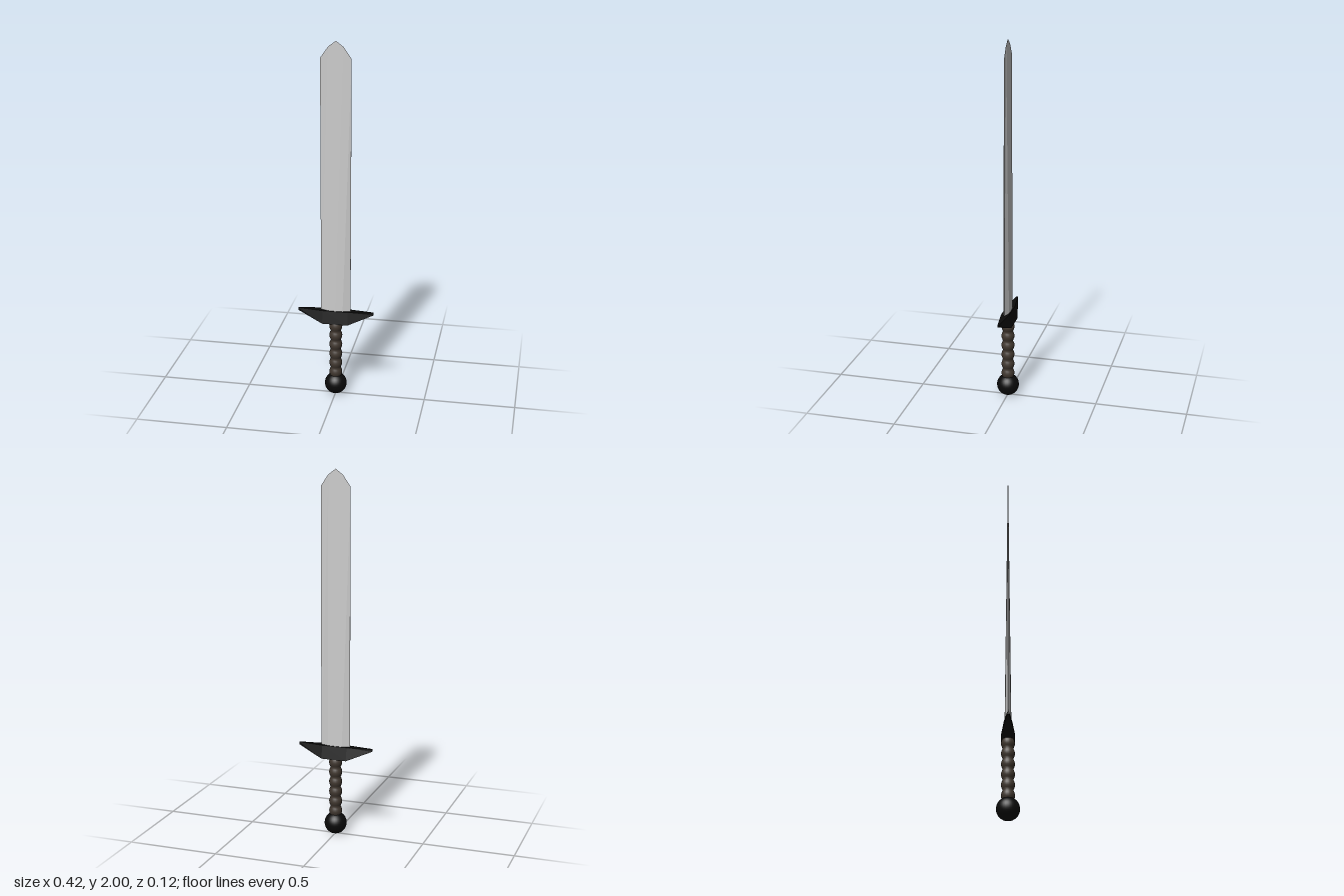
import * as THREE from 'three';

// Skin a list of closed rings (equal point counts), with flat end caps.
function loft(rings) {
  const pos = [];
  const n = rings[0].length;
  const tri = (a, b, c) => pos.push(...a, ...b, ...c);
  for (let r = 0; r < rings.length - 1; r++) {
    for (let i = 0; i < n; i++) {
      const j = (i + 1) % n;
      const [a, b, c, d] = [rings[r][i], rings[r][j], rings[r + 1][j], rings[r + 1][i]];
      tri(a, b, c);
      tri(a, c, d);
    }
  }
  const first = rings[0], last = rings[rings.length - 1];
  for (let i = 1; i < n - 1; i++) {
    tri(first[0], first[i + 1], first[i]);
    tri(last[0], last[i], last[i + 1]);
  }
  const g = new THREE.BufferGeometry();
  g.setAttribute('position', new THREE.Float32BufferAttribute(pos, 3));
  g.computeVertexNormals();
  return g;
}

export function createModel() {
  const model = new THREE.Group();
  const steel = new THREE.MeshStandardMaterial({ color: 0xcccccc });
  const black = new THREE.MeshStandardMaterial({ color: 0x0a0a0a });
  const leather = new THREE.MeshStandardMaterial({ color: 0x40372f });
  const add = (name, geometry, material) => {
    const mesh = new THREE.Mesh(geometry, material);
    mesh.name = name;
    model.add(mesh);
    return mesh;
  };

  // Blade: faceted section [x, half thickness, top height], thinning towards the point
  const columns = [[-0.082, 0.001, 1.91], [-0.04, 0.016, 1.97], [0, 0.018, 2], [0.04, 0.016, 1.97], [0.082, 0.001, 1.91]];
  const bladeRing = (top) => {
    const side = (s) => columns.map(([x, z, tip]) => [x, top ? tip : 0.49, s * z * (top ? 0.06 : 1)]);
    return [...side(1), ...side(-1).reverse()];
  };
  add('blade', loft([bladeRing(false), bladeRing(true)]), steel);

  // Crossguard: sections along x [x, bottom y, bottom half depth, top half depth]
  const sections = [[-0.21, 0.492, 0.005, 0.004], [-0.07, 0.433, 0.036, 0.022], [0.07, 0.433, 0.036, 0.022], [0.21, 0.492, 0.005, 0.004]];
  add('crossguard', loft(sections.map(([x, y, zb, zt]) =>
    [[x, y, zb], [x, y, -zb], [x, 0.505, -zt], [x, 0.505, zt]])), black);

  // Grip: stacked rounded bulges
  const bulges = 6, steps = 6, pitch = 0.056, base = 0.103;
  const profile = [];
  for (let i = 0; i <= bulges * steps; i++) {
    const swell = Math.sin(Math.PI * (i % steps) / steps);
    profile.push(new THREE.Vector2(0.027 + 0.009 * swell, base + pitch * i / steps));
  }
  add('grip', new THREE.LatheGeometry(profile, 24), leather);

  // Pommel
  add('pommel', new THREE.SphereGeometry(0.061, 32, 20), black).position.y = 0.061;

  return model;
}
